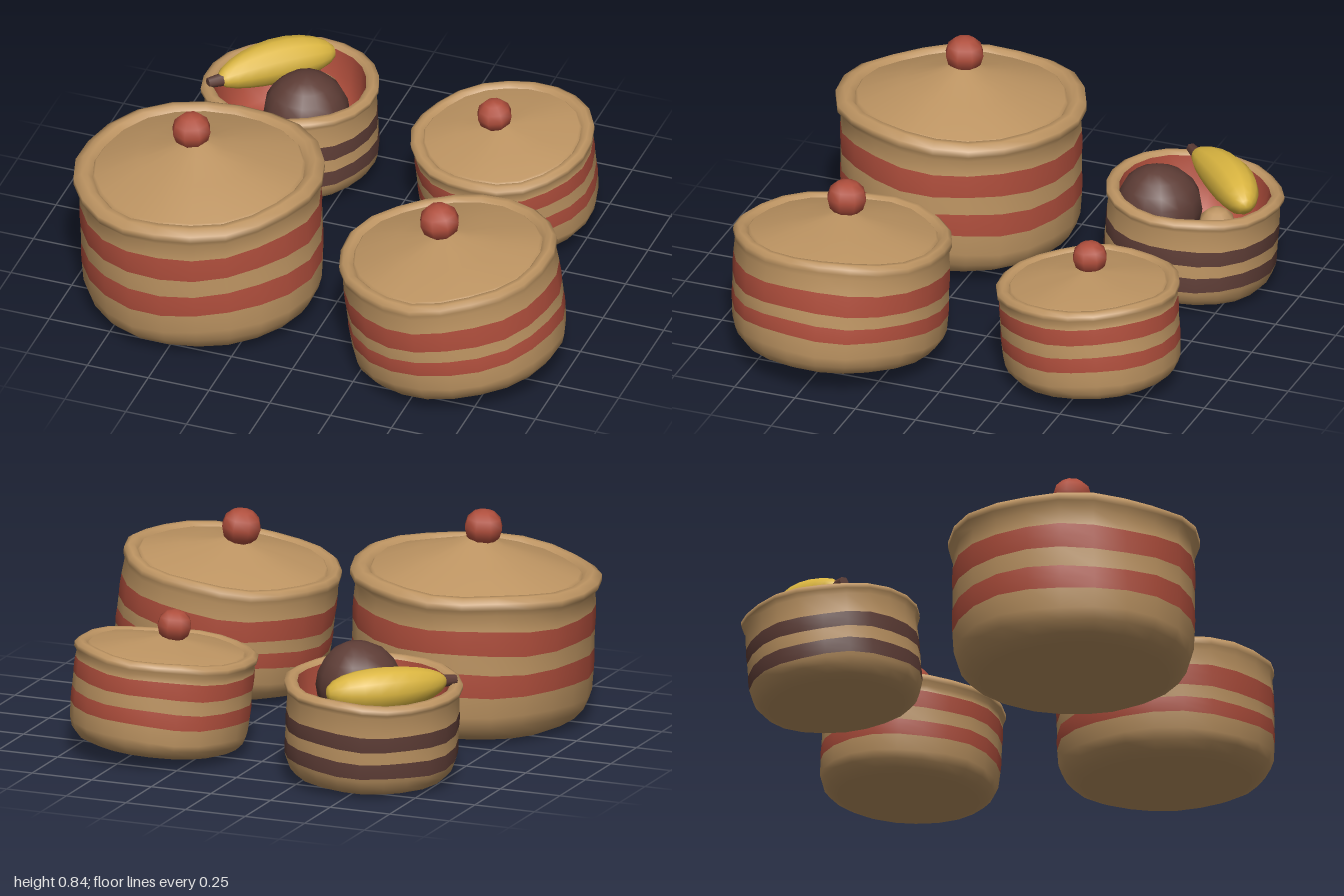
import * as THREE from 'three';
import { mergeVertices } from 'three/addons/utils/BufferGeometryUtils.js';

const mat = (name, color) => {
  const m = new THREE.MeshStandardMaterial({ color });
  m.name = name;
  return m;
};

function mesh(name, geometry, material, parent) {
  const m = new THREE.Mesh(geometry, material);
  m.name = name;
  parent.add(m);
  return m;
}

// Move vertices by a rule, then smooth across the seam
function reshape(geometry, rule) {
  geometry.deleteAttribute('uv');
  geometry.deleteAttribute('normal');
  const g = mergeVertices(geometry, 1e-4);
  const p = g.attributes.position;
  const v = new THREE.Vector3();
  for (let i = 0; i < p.count; i++) {
    v.fromBufferAttribute(p, i);
    rule(v);
    p.setXYZ(i, v.x, v.y, v.z);
  }
  g.computeVertexNormals();
  return g;
}

// Turned shape with a slightly uneven, hand-made surface
function turned(points, phase) {
  const lathe = new THREE.LatheGeometry(points.map(([x, y]) => new THREE.Vector2(x, y)), 22);
  return reshape(lathe, (v) => {
    const a = Math.atan2(v.z, v.x);
    const r = Math.hypot(v.x, v.z);
    const swell = 1 + 0.009 * Math.sin(3 * a + phase + v.y * 5) + 0.006 * Math.sin(7 * a + phase * 2);
    v.x *= swell;
    v.z *= swell;
    if (v.y > 0.06) v.y += r * (0.012 * Math.sin(2 * a + phase) + 0.011 * Math.sin(5 * a + phase * 3 + v.y * 9));
  });
}

export function createModel() {
  const tan = mat('tan straw', 0xbd9462);
  const red = mat('red weave', 0xaf4e3c);
  const brown = mat('dark brown', 0x5e3d36);
  const yellow = mat('yellow squash', 0xdab540);

  const model = new THREE.Group();
  model.name = 'basketSet';

  function basket({ name, pos, tilt, R, H, lip, bands, bandColor, apex, knob, phase }) {
    const g = new THREE.Group();
    g.name = name;
    g.position.set(...pos);
    g.rotation.set(tilt[0], 0, tilt[1]);
    model.add(g);
    const [a, b, c, d] = bands;
    const low = Math.min(0.2 * H, a - 0.01);

    // Rounded base and striped wall
    mesh('base', turned([[0, 0], [0.4 * R, 0], [0.78 * R, 0.004], [0.89 * R, 0.25 * low],
      [0.96 * R, 0.6 * low], [0.99 * R, low], [R, a]], phase), tan, g);
    mesh('lowerStripe', turned([[R, a], [R * 1.004, (a + b) / 2], [R, b]], phase), bandColor, g);
    mesh('middleWall', turned([[R, b], [R, c]], phase), tan, g);
    mesh('upperStripe', turned([[R, c], [R * 1.004, (c + d) / 2], [R, d]], phase), bandColor, g);

    // Upper wall with rolled rim
    const inner = 0.88 * R;
    mesh('rim', turned([[R, d], [R * 0.99, 0.88 * H], [R + lip, 0.925 * H], [R + lip, 0.97 * H],
      [R * 0.97, H], [R * 0.92, H], [inner, 0.965 * H]], phase), tan, g);

    if (apex) {
      // Conical lid and knob
      const lid = turned([[inner, 0.965 * H], [0.86 * R, 0.985 * H], [0.5 * R, H + (apex - H) * 0.42],
        [0.22 * R, H + (apex - H) * 0.78], [0.1 * R, apex], [0, apex]], phase);
      mesh('lid', lid, tan, g);
      const k = mesh('knob', new THREE.SphereGeometry(knob[0], 8, 6), red, g);
      k.position.set(knob[2], knob[1], 0);
      k.scale.y = 0.92;
    } else {
      // Open basket lining
      mesh('lining', turned([[inner, 0.965 * H], [0.84 * R, 0.7 * H], [0.72 * R, 0.45 * H],
        [0.4 * R, 0.4 * H], [0, 0.4 * H]], phase), red, g);
    }
    return g;
  }

  basket({ name: 'largeBasket', pos: [-0.485, 0.015, 0.405], tilt: [0, 0.05], R: 0.468, H: 0.595, lip: 0.018,
    bands: [0.2, 0.29, 0.365, 0.46], bandColor: red, apex: 0.71, knob: [0.078, 0.755, -0.02], phase: 0.4 });
  basket({ name: 'mediumBasket', pos: [0.595, 0.042, 0.48], tilt: [0, 0.125], R: 0.42, H: 0.475, lip: 0.004,
    bands: [0.16, 0.22, 0.27, 0.355], bandColor: red, apex: 0.545, knob: [0.08, 0.6, -0.015], phase: 1.7 });
  basket({ name: 'smallBasket', pos: [0.43, 0.028, -0.515], tilt: [0.08, 0.06], R: 0.348, H: 0.39, lip: 0.008,
    bands: [0.14, 0.2, 0.255, 0.32], bandColor: red, apex: 0.43, knob: [0.07, 0.475, -0.025], phase: 2.9 });
  basket({ name: 'openBasket', pos: [-0.475, 0.018, -0.55], tilt: [-0.05, 0.05], R: 0.335, H: 0.385, lip: 0.01,
    bands: [0.09, 0.15, 0.2, 0.26], bandColor: brown, phase: 4.1 });

  // Produce in the open basket
  const produce = new THREE.Group();
  produce.name = 'produce';
  model.add(produce);

  const roundFruit = mesh('roundFruit', reshape(new THREE.SphereGeometry(0.168, 14, 10), (v) => {
    v.multiplyScalar(1 + 0.02 * Math.sin(v.x * 25) * Math.cos(v.z * 20));
  }), brown, produce);
  roundFruit.position.set(-0.39, 0.345, -0.46);

  const root = mesh('smallRoot', new THREE.SphereGeometry(0.075, 8, 6), tan, produce);
  root.position.set(-0.42, 0.29, -0.69);

  // Curved squash with its stem
  const squash = new THREE.Group();
  squash.name = 'squash';
  squash.position.set(-0.595, 0.4, -0.655);
  squash.rotation.y = 0.78;
  produce.add(squash);
  mesh('squashBody', reshape(new THREE.SphereGeometry(1, 12, 12).rotateZ(Math.PI / 2), (v) => {
    const t = v.x;
    const girth = 0.088 * (1 + 0.12 * t);
    v.set(0.25 * t, v.y * girth, v.z * girth + 0.03 * t * t - 0.012);
  }), yellow, squash);
  const stem = mesh('squashStem', new THREE.CylinderGeometry(0.02, 0.026, 0.06, 6).rotateZ(Math.PI / 2), brown, squash);
  stem.position.set(-0.26, 0, 0.02);

  return model;
}
